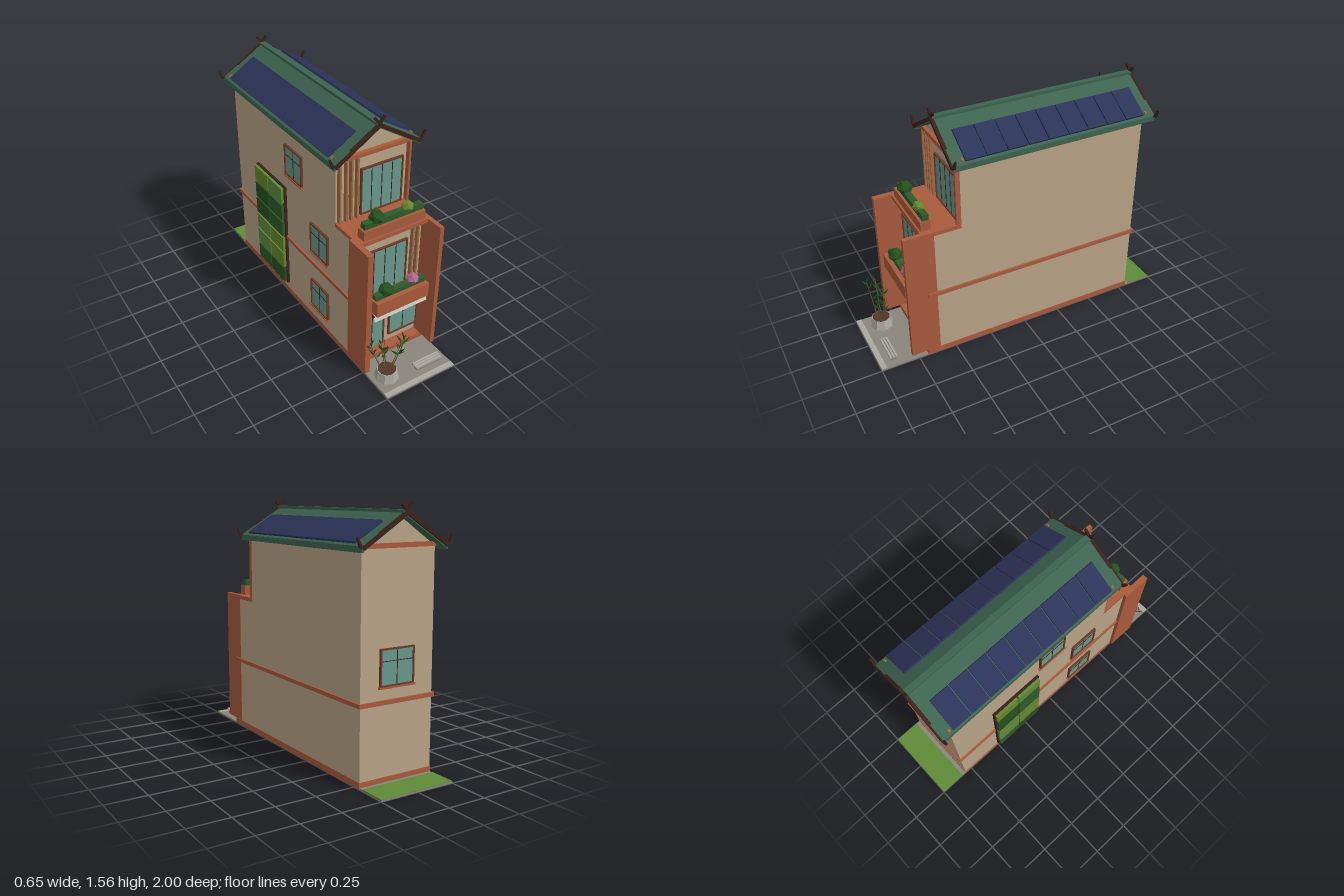
import * as THREE from 'three';

const COL = {
  wall: 0xb8a286, terracotta: 0xa85a3c, roof: 0x3d6350, wood: 0x3a211a, frame: 0x6b3a26, glass: 0x68988b,
  solar: 0x2b3358, slat: 0xa06a45, stone: 0x8a857c, paleStone: 0xaaa79f, grass: 0x5f8a38, hedge: 0x2c5a2a,
  darkLeaf: 0x24501f, lightLeaf: 0x66862f, pink: 0xb0668f, soil: 0x553528, sign: 0xc9c5ba, bamboo: 0x5f5a34,
};
const mats = {};
function mat(name) {
  return (mats[name] ??= new THREE.MeshStandardMaterial({ color: COL[name], flatShading: true, side: THREE.DoubleSide }));
}

function mesh(parent, name, geo, color) {
  const m = new THREE.Mesh(geo, mat(color));
  m.name = name;
  parent.add(m);
  return m;
}

// Box given by its limits on each axis
function box(parent, name, color, x0, x1, y0, y1, z0, z1) {
  const m = mesh(parent, name, new THREE.BoxGeometry(x1 - x0, y1 - y0, z1 - z0), color);
  m.position.set((x0 + x1) / 2, (y0 + y1) / 2, (z0 + z1) / 2);
  return m;
}

// Square or round bar between two points
function bar(parent, name, color, a, b, r0, r1 = r0, sides = 4) {
  const p = new THREE.Vector3(...a), q = new THREE.Vector3(...b), d = q.clone().sub(p);
  const geo = new THREE.CylinderGeometry(r1, r0, d.length(), sides);
  if (sides === 4) geo.rotateY(Math.PI / 4);
  const m = mesh(parent, name, geo, color);
  m.position.copy(p).add(q).multiplyScalar(0.5);
  m.quaternion.setFromUnitVectors(new THREE.Vector3(0, 1, 0), d.normalize());
  return m;
}

// Polygon in x/y extruded from z0 to z1
function prism(parent, name, color, pts, z0, z1) {
  const shape = new THREE.Shape(pts.map(p => new THREE.Vector2(...p)));
  const m = mesh(parent, name, new THREE.ExtrudeGeometry(shape, { depth: z1 - z0, bevelEnabled: false }), color);
  m.position.z = z0;
  return m;
}

// Framed glazing facing +z, centred on its own origin
function glazing(parent, name, w, h, { verticals = 0, transom = false, sill = false } = {}) {
  const g = new THREE.Group(), f = 0.009;
  g.name = name;
  parent.add(g);
  box(g, 'glass', 'glass', -w / 2, w / 2, -h / 2, h / 2, -0.004, 0.005);
  for (const s of [-1, 1]) {
    box(g, 'frameSide', 'frame', s * w / 2 - f / 2, s * w / 2 + f / 2, -h / 2, h / 2, -0.004, 0.012);
    box(g, 'frameRail', 'frame', -w / 2 - f / 2, w / 2 + f / 2, s * h / 2 - f / 2, s * h / 2 + f / 2, -0.004, 0.012);
  }
  for (let i = 1; i <= verticals; i++) {
    const x = -w / 2 + w * i / (verticals + 1);
    box(g, 'mullion', 'wood', x - 0.002, x + 0.002, -h / 2, h / 2, 0, 0.008);
  }
  if (transom) box(g, 'transom', 'wood', -w / 2, w / 2, h * 0.17 - 0.002, h * 0.17 + 0.002, 0, 0.008);
  if (sill) box(g, 'sill', 'terracotta', -w / 2 - 0.012, w / 2 + 0.012, -h / 2 - 0.014, -h / 2 - 0.004, -0.004, 0.017);
  return g;
}

function addGround(g) {
  box(g, 'groundSlab', 'stone', -0.25, 0.25, 0, 0.01, -1, 1);
  box(g, 'backLawn', 'grass', -0.25, 0.25, 0.004, 0.013, -1, -0.83);
  box(g, 'kerb', 'paleStone', -0.25, 0.25, 0.004, 0.013, 0.965, 1);
  box(g, 'plinth', 'terracotta', -0.253, 0.253, 0.002, 0.04, -0.803, 0.69);
}

function addWalls(g) {
  box(g, 'lowerFloors', 'wall', -0.25, 0.25, 0.03, 0.905, -0.8, 0.625);
  box(g, 'topFloor', 'wall', -0.25, 0.25, 0.9, 1.325, -0.8, 0.43);
  prism(g, 'gable', 'wall', [[-0.25, 1.32], [0.25, 1.32], [0, 1.488]], -0.8, 0.43);
  for (const [z0, z1] of [[0.42, 0.455], [-0.812, -0.79]]) box(g, 'gableBeam', 'terracotta', -0.25, 0.25, 1.318, 1.345, z0, z1);
  box(g, 'cornerPost', 'terracotta', 0.235, 0.25, 0.92, 1.32, 0.43, 0.46);
  box(g, 'stringCourse', 'terracotta', -0.262, 0.262, 0.46, 0.485, -0.812, 0.665);
  // Side fins, terrace edge and balcony
  box(g, 'leftFin', 'terracotta', 0.224, 0.252, 0.04, 0.92, 0.605, 0.795);
  box(g, 'rightFin', 'terracotta', -0.272, -0.236, 0.04, 0.92, 0.605, 0.795);
  box(g, 'terraceSlab', 'terracotta', -0.252, 0.252, 0.895, 0.92, 0.43, 0.68);
  box(g, 'balconySlab', 'terracotta', -0.236, 0.224, 0.44, 0.46, 0.62, 0.71);
}

function addRoof(g) {
  const zBack = -0.862, zFront = 0.482;
  prism(g, 'roof', 'roof',
    [[0, 1.515], [0.29, 1.337], [0.285, 1.306], [0, 1.486], [-0.285, 1.306], [-0.29, 1.337]], zBack, zFront);
  box(g, 'ridgeCap', 'roof', -0.018, 0.018, 1.495, 1.521, zBack, zFront);
  for (const s of [-1, 1]) {
    box(g, 'eaveFascia', 'roof', s * 0.285 - 0.006, s * 0.285 + 0.006, 1.303, 1.337, zBack, zFront);
    // Barge boards with crossed tips and upturned ends
    for (const z of [zBack, zFront]) {
      bar(g, 'bargeBoard', 'wood', [s * 0.287, 1.325, z], [0, 1.505, z], 0.015);
      bar(g, 'crossedTip', 'wood', [s * 0.012, 1.5, z], [-s * 0.034, 1.555, z], 0.012, 0.01);
      bar(g, 'eaveCurlBase', 'wood', [s * 0.27, 1.325, z], [s * 0.302, 1.338, z], 0.013, 0.011);
      bar(g, 'eaveCurlTip', 'wood', [s * 0.298, 1.332, z], [s * 0.321, 1.385, z], 0.011, 0.008);
    }
    // Solar panels along the slope
    const row = new THREE.Group();
    row.name = 'solarRow';
    row.position.set(s * 0.192, 1.407, 0);
    row.rotation.z = -s * Math.atan(0.614);
    g.add(row);
    for (let i = 0; i < 9; i++) {
      const z = -0.722 + i * 0.1328;
      box(row, 'solarPanel', 'solar', -0.104, 0.104, -0.006, 0.007, z - 0.063, z + 0.063);
    }
    for (const z of [-0.805, 0.42]) box(row, 'railEnd', 'slat', s * 0.09 - 0.01, s * 0.09 + 0.01, -0.006, 0.004, z - 0.006, z + 0.006);
  }
}

function addFacade(g) {
  const z = 0.628;
  glazing(g, 'entranceDoor', 0.17, 0.34, { verticals: 1 }).position.set(-0.112, 0.192, z);
  glazing(g, 'shopWindow', 0.21, 0.295, { verticals: 1 }).position.set(0.121, 0.242, z);
  glazing(g, 'balconyDoor', 0.308, 0.33, { verticals: 3 }).position.set(-0.038, 0.628, z);
  glazing(g, 'terraceDoor', 0.285, 0.3, { verticals: 3 }).position.set(0.061, 1.078, 0.434);
  for (const x of [-0.232, -0.188, -0.154, -0.115]) box(g, 'topSlat', 'slat', x - 0.006, x + 0.006, 0.92, 1.32, 0.43, 0.458);
  for (const x of [0.152, 0.188]) box(g, 'balconySlat', 'slat', x - 0.006, x + 0.006, 0.46, 0.895, 0.62, 0.65);
  box(g, 'doorLedge', 'paleStone', -0.235, 0.02, 0.372, 0.386, 0.62, 0.7);
  // Tilted canopy board with its brackets
  const board = box(g, 'canopyBoard', 'sign', -0.19, 0.19, 0.385, 0.437, 0.745, 0.757);
  board.rotation.x = -0.35;
  for (const x of [-0.196, 0.196]) bar(g, 'canopyBracket', 'wood', [x, 0.45, 0.63], [x, 0.43, 0.765], 0.007);
}

function bush(g, color, x, y, z, r) {
  const m = mesh(g, 'bush', new THREE.IcosahedronGeometry(r, 0), color);
  m.position.set(x, y, z);
  m.scale.y = 0.88;
  m.rotation.y = x * 9;
}

function addPlanters(g) {
  box(g, 'terracePlanter', 'terracotta', -0.214, 0.211, 0.92, 0.982, 0.605, 0.668);
  box(g, 'terraceHedge', 'hedge', -0.2, 0.205, 0.975, 1.02, 0.612, 0.652);
  bush(g, 'darkLeaf', -0.108, 1.032, 0.632, 0.05);
  bush(g, 'lightLeaf', 0.105, 1.024, 0.632, 0.04);
  box(g, 'balconyPlanter', 'terracotta', -0.19, 0.182, 0.44, 0.535, 0.705, 0.785);
  box(g, 'balconyHedge', 'hedge', -0.18, 0.176, 0.525, 0.565, 0.714, 0.755);
  bush(g, 'darkLeaf', -0.096, 0.576, 0.735, 0.05);
  bush(g, 'pink', 0.094, 0.576, 0.735, 0.042);
}

function addSideAndBack(g) {
  // Windows on the right side wall and the back
  for (const [y, z] of [[0.235, 0.264], [0.67, 0.264], [1.075, -0.026]]) {
    const w = glazing(g, 'sideWindow', 0.19, 0.2, { verticals: 1, transom: true, sill: true });
    w.position.set(-0.253, y, z);
    w.rotation.y = -Math.PI / 2;
  }
  const back = glazing(g, 'backWindow', 0.225, 0.205, { verticals: 1, transom: true, sill: true });
  back.position.set(0.007, 0.668, -0.803);
  back.rotation.y = Math.PI;
  // Planted wall: two columns of six panels
  box(g, 'greenWallFrame', 'wood', -0.268, -0.25, 0.09, 0.855, -0.505, -0.137);
  const greens = ['hedge', 'lightLeaf', 'darkLeaf', 'grass'];
  for (let r = 0; r < 6; r++) for (let c = 0; c < 2; c++) {
    const y = 0.1 + r * 0.127, z = -0.498 + c * 0.18;
    box(g, 'greenWallPanel', greens[(r * 3 + c * 2 + (r >> 1)) % 4], -0.286, -0.262, y, y + 0.113, z, z + 0.172);
  }
}

function addForecourt(g) {
  // Faceted pot with bamboo
  const px = -0.153, pz = 0.855;
  const pot = mesh(g, 'pot', new THREE.CylinderGeometry(0.062, 0.076, 0.062, 8), 'paleStone');
  pot.position.set(px, 0.041, pz);
  const soil = mesh(g, 'soil', new THREE.CylinderGeometry(0.056, 0.056, 0.008, 10), 'soil');
  soil.position.set(px, 0.072, pz);
  const leaf = new THREE.BufferGeometry();
  leaf.setAttribute('position', new THREE.Float32BufferAttribute([0, 0, 0, 0.009, 0.025, 0.003, 0, 0.075, 0, -0.009, 0.025, 0.003], 3));
  leaf.setIndex([0, 1, 2, 0, 2, 3]);
  leaf.computeVertexNormals();
  const stems = [[-0.12, 0.30, -0.02], [-0.07, 0.33, 0.05], [0.09, 0.29, 0.04], [-0.02, 0.25, -0.04], [0.11, 0.25, 0.0]];
  stems.forEach(([dx, top, dz], i) => {
    const a = new THREE.Vector3(px + dx * 0.25, 0.07, pz + dz * 0.4), b = new THREE.Vector3(px + dx, top, pz + dz);
    bar(g, 'bambooStem', 'bamboo', a.toArray(), b.toArray(), 0.004, 0.002, 5);
    for (let k = 0; k < 6; k++) {
      const m = mesh(g, 'bambooLeaf', leaf, 'darkLeaf');
      m.position.lerpVectors(a, b, 0.5 + k * 0.1);
      m.rotation.set(0, i * 1.3 + k * 2.4, -0.9 + (k % 3) * 0.25, 'YXZ');
      m.scale.setScalar(0.85);
    }
  });
  // Low slatted bench
  box(g, 'benchBase', 'stone', 0.03, 0.2, 0.01, 0.032, 0.885, 0.922);
  for (let i = 0; i < 3; i++) box(g, 'benchSlat', 'paleStone', 0.018, 0.208, 0.032, 0.046, 0.88 + i * 0.018, 0.893 + i * 0.018);
}

export function createModel() {
  const g = new THREE.Group();
  g.name = 'townhouse';
  for (const add of [addGround, addWalls, addRoof, addFacade, addPlanters, addSideAndBack, addForecourt]) add(g);
  return g;
}
